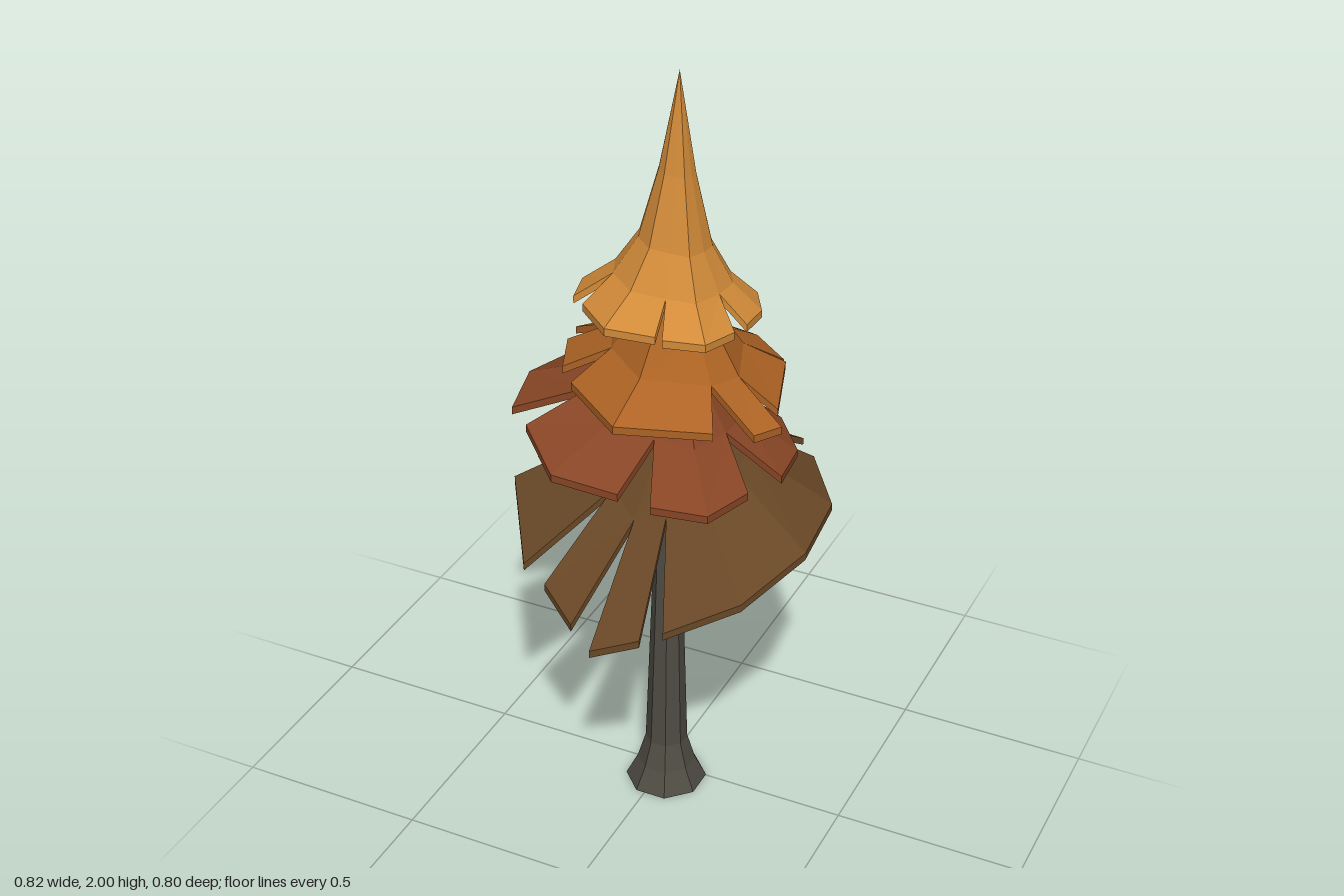
import * as THREE from 'three';

const THICK = 0.02;
const CROWN_X = 0.026, CROWN_Z = -0.012;

// Each tier: crown height, rim surface [height, x tilt, z tilt, droop at the front],
// profile levels [share of radius, share of drop], and fronds
// [segments, start angle, start radius, end angle, end radius],
// with angles in degrees running from the right side round the back.
const TIERS = [
  {
    name: 'bottomFoliage', colorName: 'brown', color: 0x684726,
    top: 1.2, rim: [0.835, 0.01, -0.08, -1.1], levels: [[0.2, 0.3], [0.45, 0.58]],
    fronds: [
      [3, 11, 0.42, 89, 0.4], [1, 106, 0.416, 118, 0.443], [4, 129, 0.42, 246, 0.36],
      [1, 255, 0.367, 273, 0.397], [1, 284, 0.37, 303.5, 0.354], [1, 315.5, 0.378, 354.5, 0.417],
    ],
  },
  {
    name: 'lowerFoliage', colorName: 'rust', color: 0x874525,
    top: 1.4, rim: [1.06, -0.2, 0.06, -0.49], levels: [[0.3, 0.5], [0.55, 0.75]],
    fronds: [
      [5, -27.5, 0.38, 96, 0.347], [3, 103, 0.3, 180, 0.31],
      [2, 203, 0.295, 252, 0.305], [2, 268, 0.295, 323, 0.35],
    ],
  },
  {
    name: 'upperFoliage', colorName: 'orange', color: 0xad6324,
    top: 1.6, rim: [1.205, -0.07, 0.03, 0], levels: [[0.35, 0.55], [0.6, 0.82]],
    fronds: [
      [1, -23, 0.255, 6, 0.29], [1, 18, 0.316, 48, 0.315], [3, 60.5, 0.304, 132, 0.315],
      [1, 134, 0.315, 180, 0.295], [1, 192, 0.342, 206, 0.329], [2, 222, 0.283, 319, 0.24],
    ],
  },
  {
    name: 'topFoliage', colorName: 'amber', color: 0xd28b39,
    top: 2, rim: [1.405, -0.08, 0.03, 0], levels: [[0.2, 0.42], [0.4, 0.72], [0.65, 0.88]],
    fronds: [
      [5, -26, 0.224, 101, 0.234], [3, 110, 0.234, 177, 0.205],
      [2, 191.6, 0.2, 248, 0.188], [2, 253.6, 0.177, 324, 0.204],
    ],
  },
];

const makeMaterial = (name, color, side = THREE.FrontSide) => {
  const m = new THREE.MeshStandardMaterial({ color, flatShading: true, side });
  m.name = name;
  return m;
};

// Rim points of one frond; short fronds bulge more between their two ends
function frondRim([segments, a0, r0, a1, r1], [height, tiltX, tiltZ, droop]) {
  const bulge = 0.035 * (5 - segments);
  return Array.from({ length: segments + 1 }, (_, i) => {
    const t = i / segments;
    const a = THREE.MathUtils.degToRad(THREE.MathUtils.lerp(a0, a1, t));
    const r = THREE.MathUtils.lerp(r0, r1, t) * (1 + bulge * Math.sin(Math.PI * t));
    const x = -r * Math.cos(a), z = -r * Math.sin(a);
    return [x, height + tiltX * x + tiltZ * z + droop * Math.max(z, 0) ** 2, z];
  });
}

function tierGeometry({ top, rim, levels, fronds }) {
  const apex = [CROWN_X, top, CROWN_Z];
  const pos = [];
  const quad = (a, b, c, d) => pos.push(...a, ...b, ...c, ...a, ...c, ...d);
  const drop = (p) => [p[0], p[1] - THICK, p[2]];
  const average = (a, b) => a.map((v, i) => (v + b[i]) / 2);
  const along = (p, [t, f]) => p.map((v, i) => apex[i] + (v - apex[i]) * (i === 1 ? f : t));
  const rims = fronds.map((f) => frondRim(f, rim));
  const n = rims.length;

  rims.forEach((edge, k) => {
    // neighbouring fronds share their root points where the slit begins
    const last = edge.length - 1;
    const root = edge.slice();
    root[0] = average(edge[0], rims[(k + n - 1) % n].at(-1));
    root[last] = average(edge[last], rims[(k + 1) % n][0]);
    const rows = [...levels.map((l) => root.map((p) => along(p, l))), edge];
    const mid = rows[rows.length - 2];

    for (let i = 0; i < last; i++) {
      // crown, then top and underside of each band
      const [p, q] = [rows[0][i], rows[0][i + 1]];
      pos.push(...apex, ...q, ...p, ...drop(apex), ...drop(p), ...drop(q));
      for (let r = 0; r < rows.length - 1; r++) {
        const [a, b, c, d] = [rows[r][i], rows[r][i + 1], rows[r + 1][i + 1], rows[r + 1][i]];
        quad(a, b, c, d);
        quad(drop(d), drop(c), drop(b), drop(a));
      }
      // outer rim
      quad(edge[i + 1], drop(edge[i + 1]), drop(edge[i]), edge[i]);
    }
    // slit walls
    quad(edge[0], drop(edge[0]), drop(mid[0]), mid[0]);
    quad(mid[last], drop(mid[last]), drop(edge[last]), edge[last]);
  });

  const g = new THREE.BufferGeometry();
  g.setAttribute('position', new THREE.Float32BufferAttribute(pos, 3));
  g.computeVertexNormals();
  return g;
}

// Eight-sided trunk, open below, with a flared foot and a slight backward lean
function trunkGeometry() {
  const profile = [[0.107, 0], [0.076, 0.06], [0.055, 0.13], [0.039, 0.62], [0.03, 1.05]];
  const g = new THREE.LatheGeometry(profile.map(([r, y]) => new THREE.Vector2(r, y)), 8, Math.PI / 8);
  const p = g.attributes.position;
  for (let i = 0; i < p.count; i++) {
    const y = p.getY(i);
    p.setX(i, p.getX(i) + 0.017 - 0.01 * y);
    p.setZ(i, p.getZ(i) + 0.038 - 0.033 * y);
  }
  g.computeVertexNormals();
  return g;
}

export function createModel() {
  const tree = new THREE.Group();
  tree.name = 'autumnConifer';

  const trunk = new THREE.Mesh(trunkGeometry(), makeMaterial('greyBark', 0x4e4b42, THREE.DoubleSide));
  trunk.name = 'trunk';
  tree.add(trunk);

  for (const tier of TIERS) {
    const mesh = new THREE.Mesh(tierGeometry(tier), makeMaterial(tier.colorName, tier.color));
    mesh.name = tier.name;
    tree.add(mesh);
  }
  return tree;
}
